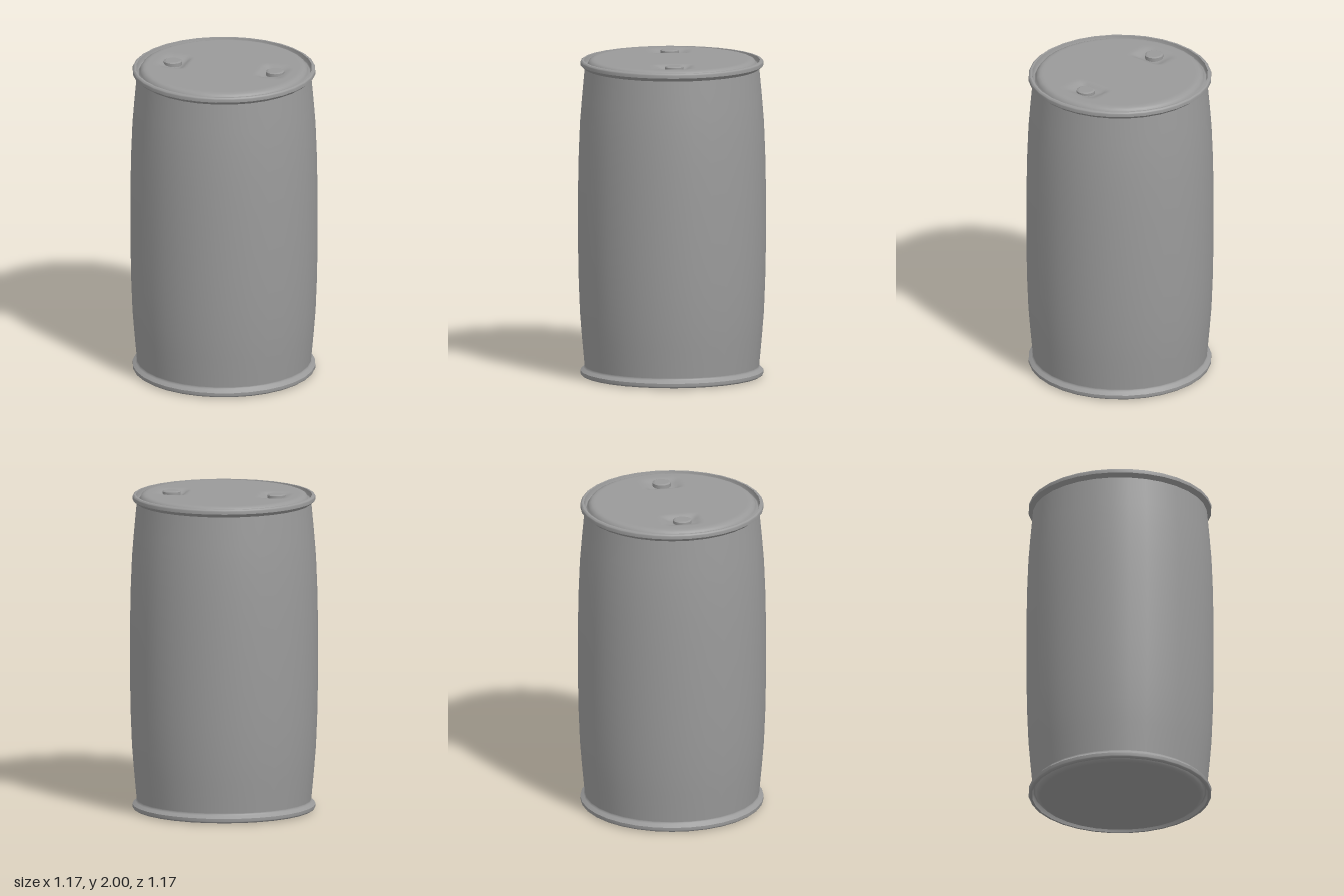
import * as THREE from 'three';

const SIDES = 32;
const LID_R = 0.47;
const LID_Y = 1.993;
const BUNG_R = 0.332; // distance of each bung from the axis

const material = new THREE.MeshStandardMaterial({ color: 0x9a9a9a });

// Turned part; a point given twice in a row makes a sharp edge
function lathe(name, profile, sides = SIDES) {
  const points = profile.map(([r, y]) => new THREE.Vector2(r, y));
  const mesh = new THREE.Mesh(new THREE.LatheGeometry(points, sides), material);
  mesh.name = name;
  return mesh;
}

// Depth of the soft square recess around each bung, deepest towards the middle
function recessDepth(x, z) {
  const out = Math.abs(x + z) * Math.SQRT1_2;
  const across = Math.abs(x - z) * Math.SQRT1_2;
  const step = THREE.MathUtils.smoothstep;
  const inner = step(out, 0.225, 0.28);
  const outer = 1 - step(out, 0.36, 0.43);
  const side = 1 - step(across, 0.065, 0.125);
  const floor = THREE.MathUtils.mapLinear(out, 0.24, 0.41, 0.026, 0.012);
  return inner * outer * side * floor;
}

function makeLid() {
  const geometry = new THREE.RingGeometry(0.001, LID_R, SIDES * 3, 32);
  geometry.rotateX(-Math.PI / 2);
  const pos = geometry.attributes.position;
  const step = (2 * Math.PI) / SIDES;
  for (let i = 0; i < pos.count; i++) {
    let x = pos.getX(i), z = pos.getZ(i);
    // Pull the circle onto the polygon of the shell so the edges meet
    const angle = Math.atan2(z, x) + 2 * Math.PI + 1e-6;
    const k = Math.cos(step / 2) / Math.cos((angle % step) - step / 2);
    x *= k;
    z *= k;
    pos.setXYZ(i, x, LID_Y - recessDepth(x, z), z);
  }
  geometry.computeVertexNormals();
  const mesh = new THREE.Mesh(geometry, material);
  mesh.name = 'lid';
  return mesh;
}

export function createModel() {
  const barrel = new THREE.Group();
  barrel.name = 'barrel';

  // Bulging wall, symmetric about mid height
  const lower = [[0.543, 0.065], [0.55, 0.14], [0.56, 0.25], [0.572, 0.4], [0.58, 0.6], [0.584, 0.8]];
  const upper = lower.map(([r, y]) => [r, 2 - y]).reverse();
  barrel.add(lathe('wall', [...lower, [0.585, 1], ...upper]));

  // Rolled rim, listed from the wall over the lip and groove to the end panel
  const rim = [
    [0.543, 1.935], [0.55, 1.941], [0.57, 1.957], [0.57, 1.957], [0.57, 1.975],
    [0.567, 1.981], [0.56, 1.986], [0.56, 1.986], [0.548, 1.986], [0.548, 1.986],
    [0.543, 1.958], [0.536, 1.953], [0.53, 1.955], [0.523, 1.968], [0.515, 1.983],
    [0.5, 1.99], [0.485, LID_Y], [LID_R, LID_Y],
  ];
  barrel.add(lathe('topRim', rim));
  // The base panel reaches the ground; the rim sits just above it
  const base = rim.map(([r, y]) => [r, LID_Y - y]).reverse();
  barrel.add(lathe('bottomRim', [[0, 0], ...base, [0.543, 0.066]]));

  barrel.add(makeLid());

  // Two screw-in bungs with chamfered caps on opposite sides of the lid
  for (const side of [1, -1]) {
    const bung = lathe('bung', [
      [0.057, 1.95], [0.057, 1.995], [0.057, 1.995],
      [0.046, 2], [0.046, 2], [0, 2],
    ], 24);
    const d = side * BUNG_R * Math.SQRT1_2;
    bung.position.set(d, 0, d);
    barrel.add(bung);
  }
  return barrel;
}
